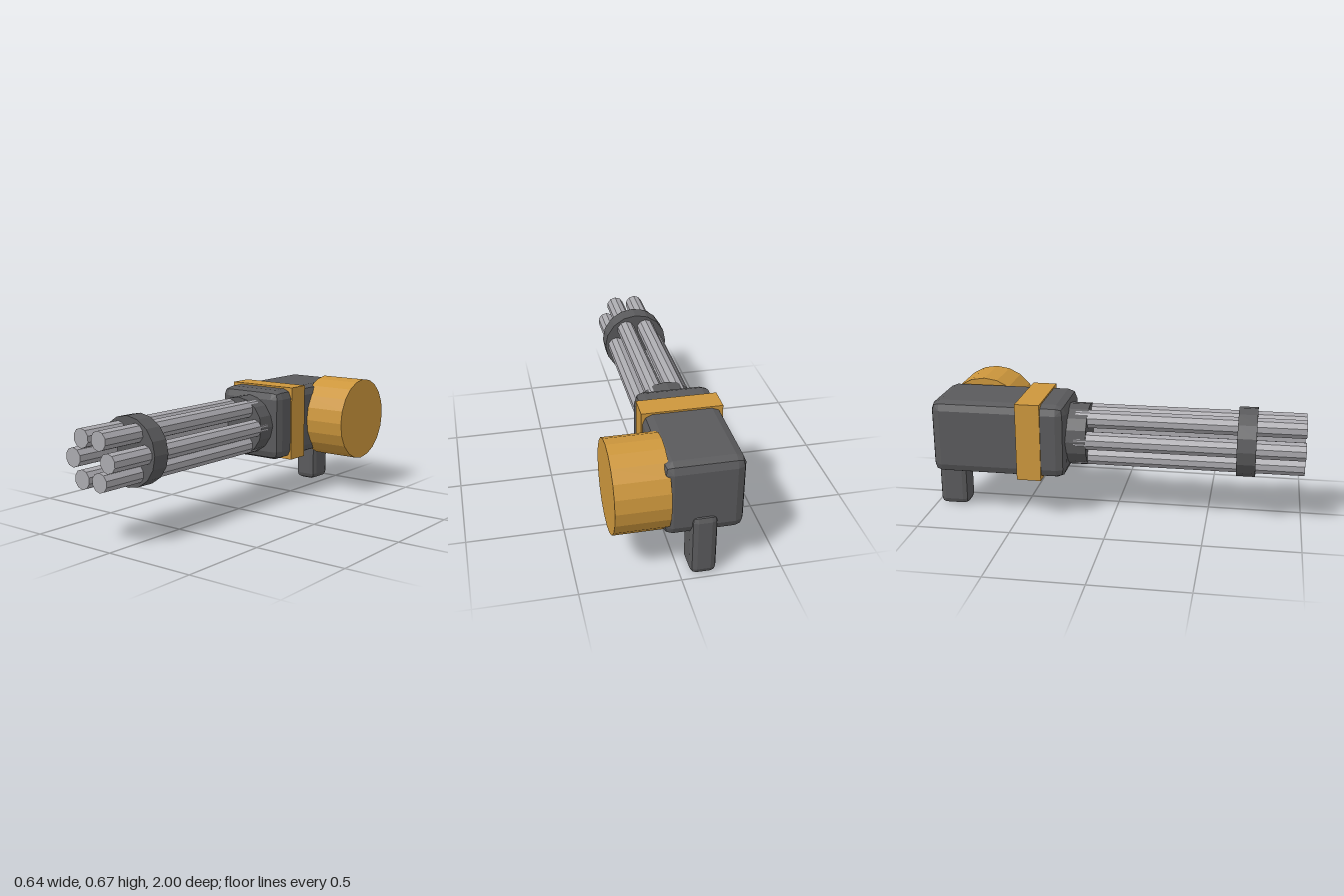
import * as THREE from 'three';
import { ConvexGeometry } from 'three/addons/geometries/ConvexGeometry.js';

const CX = -0.114, CY = 0.435; // barrel axis

function material(name, color) {
  const m = new THREE.MeshStandardMaterial({ color, flatShading: true });
  m.name = name;
  return m;
}

// Box with edges rounded in two flat steps
function bevelBox(w, h, d, r) {
  const a = Math.SQRT1_2, c = 1 / Math.sqrt(3);
  const dirs = [[1, 0, 0], [0, 1, 0], [0, 0, 1], [a, a, 0], [a, 0, a], [0, a, a], [c, c, c]];
  const points = [];
  for (const sx of [-1, 1]) for (const sy of [-1, 1]) for (const sz of [-1, 1]) {
    for (const [x, y, z] of dirs) {
      points.push(new THREE.Vector3(
        sx * (w / 2 - r + r * x), sy * (h / 2 - r + r * y), sz * (d / 2 - r + r * z)));
    }
  }
  return new ConvexGeometry(points);
}

// Cylinder along z between two depths
function rod(radius, z0, z1, sides) {
  return new THREE.CylinderGeometry(radius, radius, z1 - z0, sides)
    .rotateX(Math.PI / 2).translate(0, 0, (z0 + z1) / 2);
}

export function createModel() {
  const model = new THREE.Group();
  model.name = 'rotaryGun';
  const dark = material('darkMetal', 0x5a5a5c);
  const steel = material('barrelSteel', 0xaaa9ae);
  const gold = material('goldPaint', 0xcc963c);

  const add = (name, geometry, mat, x, y, z) => {
    const mesh = new THREE.Mesh(geometry, mat);
    mesh.name = name;
    mesh.position.set(x, y, z);
    model.add(mesh);
  };

  // Housing, band and grip
  add('housing', bevelBox(0.402, 0.398, 0.725, 0.05), dark, CX, CY, -0.6);
  add('housingBand', new THREE.BoxGeometry(0.416, 0.416, 0.13), gold, CX, CY, -0.432);
  add('grip', bevelBox(0.133, 0.34, 0.163, 0.033), dark, CX, 0.17, -0.898);

  // Ammunition drum on the left side
  add('drum', new THREE.CylinderGeometry(0.233, 0.233, 0.267, 20).rotateZ(Math.PI / 2),
    gold, 0.1865, CY, -0.767);

  // Barrel cluster with its collar and clamp
  add('barrelCollar', rod(0.166, -0.28, -0.135, 16), dark, CX, CY, 0);
  add('barrelClamp', rod(0.183, 0.65, 0.748, 16), dark, CX, CY, 0);
  const barrel = rod(0.05, -0.2, 1, 10);
  for (let i = 0; i < 6; i++) {
    const t = i * Math.PI / 3;
    add('barrel' + (i + 1), barrel, steel, CX + 0.117 * Math.cos(t), CY + 0.117 * Math.sin(t), 0);
  }
  return model;
}
